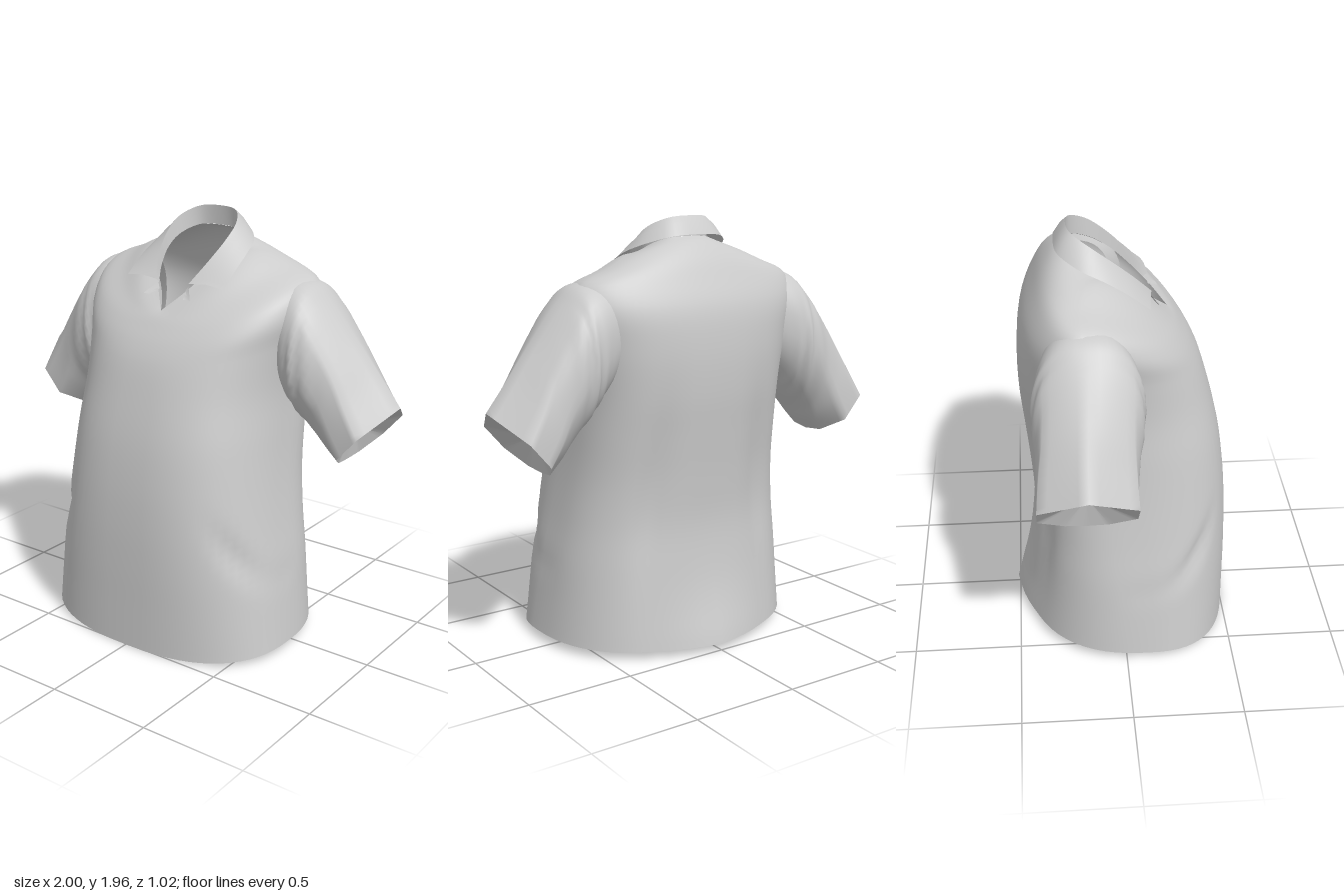
import * as THREE from 'three';

const V = (x, y, z) => new THREE.Vector3(x, y, z);
const cloth = new THREE.MeshStandardMaterial({ color: 0xcccccc, side: THREE.DoubleSide });
const curve = (pts) => new THREE.CatmullRomCurve3(pts);
const spow = (v, p) => Math.sign(v) * Math.abs(v) ** p;
const bump = (v, centre, width) => Math.exp(-(((v - centre) / width) ** 2));
const mix = THREE.MathUtils.lerp;

// Skin a grid of points: rows of equal length, optionally wrapped around
function skin(name, rows, closed) {
  const n = rows[0].length, index = [];
  for (let r = 0; r < rows.length - 1; r++) {
    for (let c = 0; c < (closed ? n : n - 1); c++) {
      const a = r * n + c, b = r * n + (c + 1) % n;
      index.push(a, a + n, b, b, a + n, b + n);
    }
  }
  const geo = new THREE.BufferGeometry().setFromPoints(rows.flat());
  geo.setIndex(index);
  geo.computeVertexNormals();
  const mesh = new THREE.Mesh(geo, cloth);
  mesh.name = name;
  return mesh;
}

// Close a ring of points with a fan to its centre, pushed inwards
function cap(name, ring, inset) {
  const centre = ring.reduce((sum, p) => sum.add(p), V(0, 0, 0)).divideScalar(ring.length).add(inset);
  return skin(name, [ring.map(() => centre), ring], true);
}

// Smooth rows through a few control rows, column by column
function refine(rows, steps) {
  const cols = rows[0].map((_, c) => curve(rows.map((r) => r[c])).getPoints(steps));
  return cols[0].map((_, i) => cols.map((col) => col[i]));
}

// Neck opening, from the back centre round one side to the point of the V
const neckHalf = [
  V(0, 1.87, -0.235), V(0.1, 1.865, -0.215), V(0.152, 1.83, -0.13), V(0.155, 1.78, -0.04),
  V(0.128, 1.71, 0.05), V(0.08, 1.635, 0.135), V(0, 1.55, 0.22),
];

// Torso rings: half width, side z, front z, back z, front y, side y, back y, front and back roundness
const rings = [
  [0.63, 0.09, 0.51, -0.465, 0.0, 0.04, 0.035, 0.8, 0.86],
  [0.608, 0.06, 0.51, -0.44, 0.2, 0.22, 0.2, 0.77, 0.84],
  [0.585, 0.03, 0.51, -0.42, 0.4, 0.41, 0.4, 0.75, 0.83],
  [0.555, 0, 0.505, -0.408, 0.6, 0.6, 0.6, 0.74, 0.82],
  [0.53, -0.03, 0.49, -0.42, 0.8, 0.8, 0.8, 0.74, 0.82],
  [0.515, -0.08, 0.46, -0.44, 1.0, 1.0, 1.0, 0.74, 0.82],
  [0.51, -0.13, 0.41, -0.46, 1.2, 1.22, 1.2, 0.78, 0.82],
  [0.54, -0.16, 0.365, -0.462, 1.34, 1.44, 1.4, 0.86, 0.84],
  [0.575, -0.18, 0.325, -0.44, 1.42, 1.59, 1.57, 0.92, 0.88],
  [0.55, -0.185, 0.285, -0.385, 1.48, 1.68, 1.7, 0.96, 0.92],
  [0.41, -0.18, 0.255, -0.335, 1.52, 1.742, 1.79, 0.98, 0.95],
  [0.27, -0.14, 0.235, -0.28, 1.54, 1.797, 1.85, 1, 1],
];

function torso() {
  const N = 64;
  const neck = curve(neckHalf);
  const rows = rings.map(([w, zs, zf, zb, yf, ys, yb, pf, pb]) => {
    const row = [];
    for (let i = 0; i < N; i++) {
      const a = (i / N) * Math.PI * 2, s = Math.sin(a), front = s > 0;
      const p = front ? pf : pb;
      row.push(V(
        w * spow(Math.cos(a), p),
        mix(ys, front ? yf : yb, Math.abs(s) ** 1.6),
        mix(zs, front ? zf : zb, Math.abs(s) ** p),
      ));
    }
    return row;
  });
  rows.push(rows[0].map((_, i) => {
    const a = (i / N) * Math.PI * 2;
    const q = neck.getPoint(THREE.MathUtils.clamp(Math.asin(Math.sin(a)) / Math.PI + 0.5, 0, 1));
    return V(Math.cos(a) < 0 ? -q.x : q.x, q.y, q.z);
  }));
  const fine = refine(rows, 60);
  // Hanging folds and a flared centre ridge at the back, slanting creases at the waist sides
  for (const p of fine.flat()) {
    const ax = Math.abs(p.x);
    if (p.z < -0.2) {
      p.z += 0.03 * bump(ax, 0.27 + 0.1 * (0.9 - p.y), 0.07) * bump(p.y, 0.75, 0.4);
      p.z -= 0.045 * Math.max(0, 1 - ax / 0.3) * bump(p.y, 0, 0.25);
    }
    if (p.z > 0) {
      const fold = bump(p.y - 1.6 * (0.5 - ax), 0.5, 0.05) * bump(ax, 0.5, 0.08);
      p.z -= 0.02 * fold;
      p.x -= Math.sign(p.x) * 0.012 * fold;
    }
  }
  const group = new THREE.Group();
  group.name = 'torso';
  group.add(skin('shirtBody', fine, true), cap('hemCap', fine[0], V(0, 0.03, 0)));
  return group;
}

// Sleeve rings: top x, top y, bottom x, bottom y, centre z, half depth, angularity
const sleeveRings = [
  [0.4, 1.7, 0.41, 1.27, -0.175, 0.17, 0],
  [0.56, 1.68, 0.49, 1.18, -0.165, 0.222, 0],
  [0.645, 1.612, 0.555, 1.1, -0.165, 0.238, 0.15],
  [0.8, 1.43, 0.64, 1.01, -0.175, 0.22, 0.45],
  [0.9, 1.305, 0.69, 0.95, -0.182, 0.216, 0.75],
  [1.0, 1.18, 0.75, 0.89, -0.185, 0.213, 1],
];
// Angular cuff outline: depth and height fractions from ridge to underside
const cuff = [[0, 1], [1, 0.63], [1, 0.25], [0.45, 0.03], [0, 0]];

function sleeve(side) {
  const N = 40;
  const rows = sleeveRings.map(([tx, ty, bx, by, cz, d, k]) => {
    const row = [];
    for (let i = 0; i < N; i++) {
      const a = (i / N) * Math.PI * 2, sgn = i > N / 2 ? -1 : 1;
      const u = (Math.min(i, N - i) / (N / 2)) * 4, j = Math.min(Math.floor(u), 3);
      const [d0, h0] = cuff[j], [d1, h1] = cuff[j + 1];
      const h = mix((1 + spow(Math.cos(a), 0.9)) / 2, mix(h0, h1, u - j), k);
      const w = mix(Math.abs(Math.sin(a)) ** 0.85, mix(d0, d1, u - j), k);
      row.push(V(side * mix(bx, tx, h), mix(by, ty, h), cz + sgn * d * w));
    }
    return row;
  });
  const fine = refine(rows, 30);
  // Gathered creases fanning out from the armpit
  fine.forEach((row, r) => row.forEach((p, i) => {
    const t = r / 30, a = (i / N) * Math.PI * 2;
    const fade = bump(t, 0.38, 0.14) * Math.abs(Math.sin(a)) * (0.6 - 0.4 * Math.cos(a));
    p.z += Math.sign(Math.sin(a)) * 0.014 * fade * Math.sin(t * 40 + Math.cos(a) * 5);
  }));
  const group = new THREE.Group();
  group.name = side > 0 ? 'leftSleeve' : 'rightSleeve';
  group.add(skin('sleeveTube', fine, true), cap('sleeveCap', fine.at(-1), V(-0.06 * side, 0.06, 0)));
  return group;
}

// Collar: inner stand, rolled top and turned-down leaf
function collar() {
  const stand = [...neckHalf.slice(0, 5), V(0.09, 1.65, 0.118)];
  const roll = [
    V(0, 1.96, -0.23), V(0.1, 1.952, -0.21), V(0.16, 1.91, -0.13),
    V(0.165, 1.845, -0.04), V(0.14, 1.765, 0.05), V(0.093, 1.668, 0.14),
  ];
  const leaf = [
    V(0, 1.88, -0.285), V(0.13, 1.872, -0.27), V(0.225, 1.835, -0.18),
    V(0.258, 1.795, -0.08), V(0.268, 1.738, 0.02), V(0.27, 1.662, 0.122),
  ];
  const full = (half) => curve([
    ...half.slice(1).reverse().map((p) => V(-p.x, p.y, p.z)), ...half,
  ]).getPoints(50);
  const group = new THREE.Group();
  group.name = 'collar';
  const [s, r, l] = [stand, roll, leaf].map(full);
  // Slight outward belly so the leaf lies over the shoulders
  const mid = r.map((p, i) => p.clone().lerp(l[i], 0.5).add(V(0, 0.01, 0)));
  group.add(skin('collarStand', [s, r], false), skin('collarLeaf', [r, mid, l], false));
  return group;
}

// Small folded-back placket edge beside the V
function placketFold(side) {
  const rows = [
    [V(side * 0.085, 1.655, 0.13), V(side * 0.13, 1.605, 0.18)],
    [V(side * 0.07, 1.625, 0.14), V(side * 0.095, 1.605, 0.185)],
  ];
  return skin(side > 0 ? 'leftPlacketFold' : 'rightPlacketFold', rows, false);
}

export function createModel() {
  const shirt = new THREE.Group();
  shirt.name = 'poloShirt';
  shirt.add(torso(), collar());
  for (const side of [1, -1]) shirt.add(sleeve(side), placketFold(side));
  return shirt;
}
